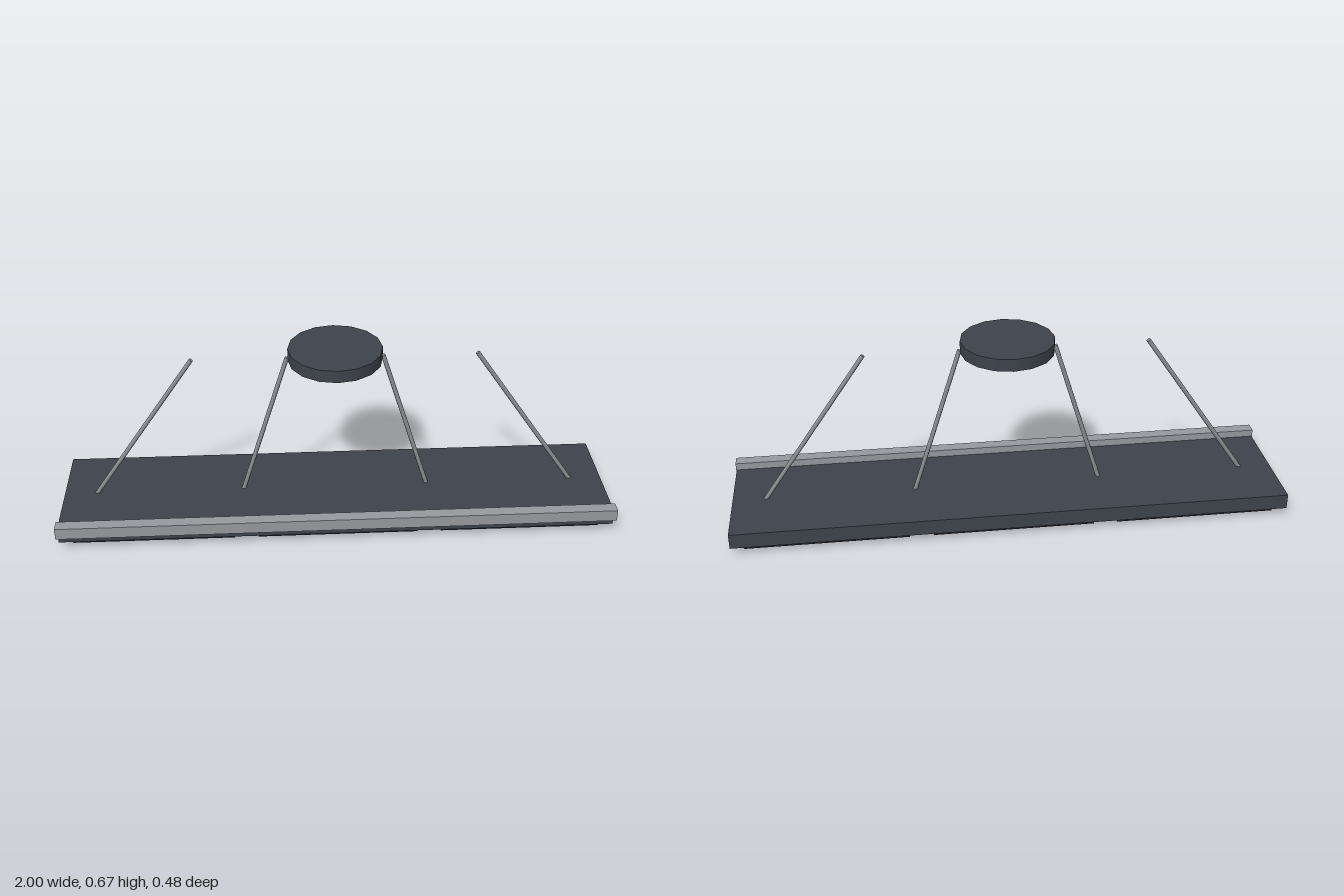
import * as THREE from 'three';

const mat = (color) => new THREE.MeshStandardMaterial({ color });

export function createModel() {
  const group = new THREE.Group();
  const slate = mat(0x3e434c), dark = mat(0x1f2227), black = mat(0x070709);
  const railGrey = mat(0x96999e), steel = mat(0x8a8f92);
  const axisZ = -0.016;

  const add = (name, geometry, material) => {
    const mesh = new THREE.Mesh(geometry, material);
    mesh.name = name;
    group.add(mesh);
    return mesh;
  };
  // Box given by its limits on each axis
  const box = (name, material, [x0, x1], [y0, y1], [z0, z1]) =>
    add(name, new THREE.BoxGeometry(x1 - x0, y1 - y0, z1 - z0), material)
      .position.set((x0 + x1) / 2, (y0 + y1) / 2, (z0 + z1) / 2);

  // Long slab and the rail along its front upper edge
  box('housing', slate, [-0.998, 0.998], [0.029, 0.085], [-0.238, 0.206]);
  box('frontRail', railGrey, [-1, 1], [0.068, 0.112], [0.195, 0.239]);

  // Three lamp panels, each held between two strips
  for (const x of [-0.663, 0, 0.663]) {
    box('lampPanel', black, [x - 0.284, x + 0.284], [0, 0.022], [-0.194, 0.162]);
    box('frontStrip', dark, [x - 0.289, x + 0.289], [0.008, 0.029], [0.162, 0.184]);
    box('backStrip', dark, [x - 0.289, x + 0.289], [0.008, 0.029], [-0.215, -0.194]);
  }

  // Slanted hanging rods, mirrored left and right
  const rod = (name, x0, y0, x1, y1) => {
    const a = new THREE.Vector3(x0, y0, axisZ), b = new THREE.Vector3(x1, y1, axisZ);
    const dir = b.clone().sub(a);
    const geometry = new THREE.CylinderGeometry(0.008, 0.008, dir.length(), 8);
    const mesh = add(name, geometry, steel);
    mesh.position.copy(a).add(b).multiplyScalar(0.5);
    mesh.quaternion.setFromUnitVectors(new THREE.Vector3(0, 1, 0), dir.normalize());
  };
  for (const s of [-1, 1]) {
    rod('outerRod', s * 0.885, 0.075, s * 0.5, 0.633);
    rod('innerRod', s * 0.342, 0.075, s * 0.168, 0.633);
  }

  // Round ceiling plate
  add('ceilingPlate', new THREE.CylinderGeometry(0.166, 0.166, 0.045, 16), slate)
    .position.set(0, 0.6445, axisZ);

  return group;
}
